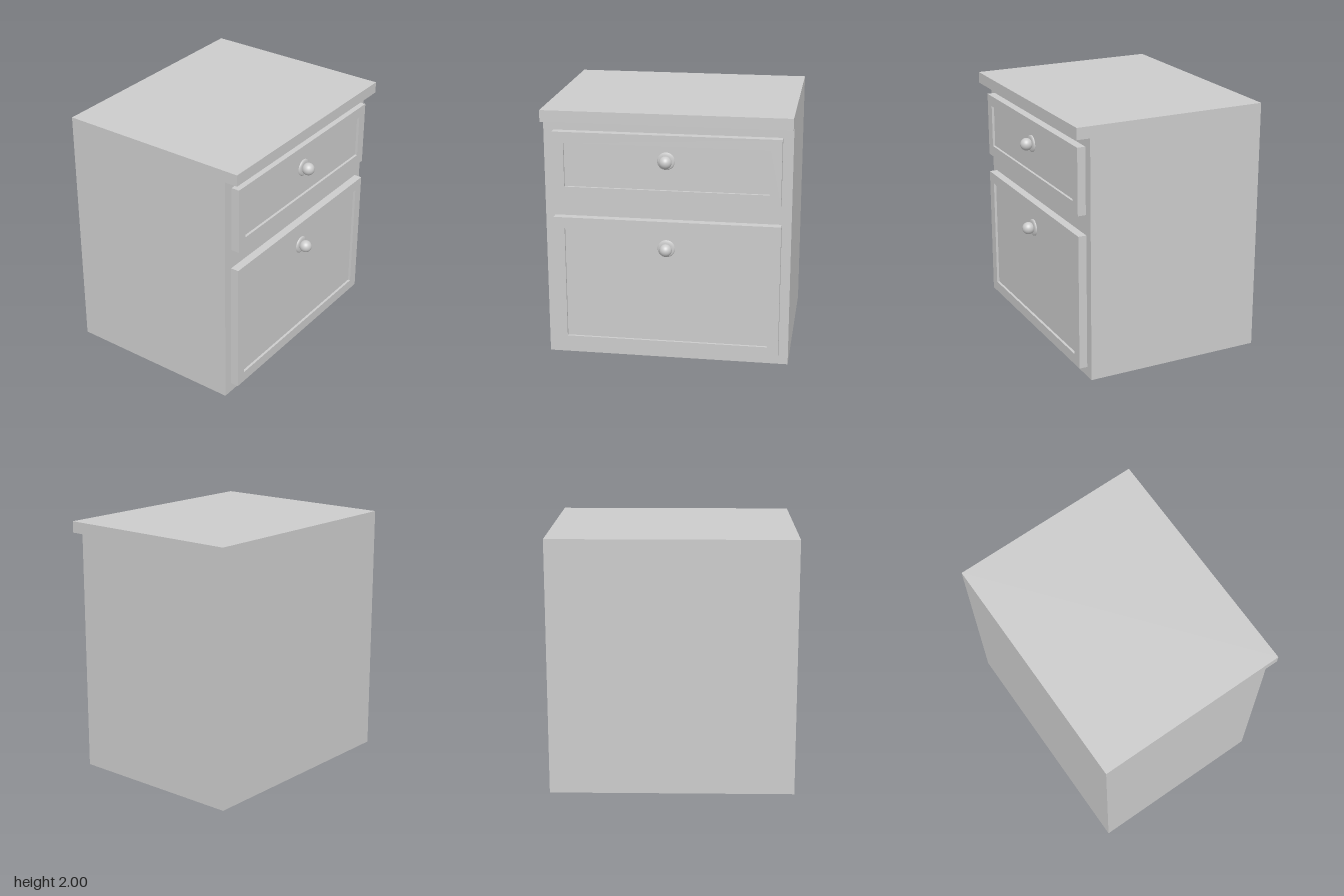
import * as THREE from 'three';

const material = new THREE.MeshStandardMaterial({ color: 0xcccccc });
const FACE_X = 0.645;   // cabinet face the drawers sit on
const FRONT_X = 0.71;   // front of the drawer frames
const PANEL_X = 0.69;   // recessed drawer panels

function addMesh(parent, name, geometry) {
  const mesh = new THREE.Mesh(geometry, material);
  mesh.name = name;
  parent.add(mesh);
  return mesh;
}

function rectangle(PathType, halfWidth, bottom, top) {
  return new PathType([
    [-halfWidth, bottom], [halfWidth, bottom], [halfWidth, top], [-halfWidth, top],
  ].map(([x, y]) => new THREE.Vector2(x, y)));
}

// Round plate, short neck and ball, turned about the x axis
function knobGeometry() {
  const points = [[0.068, 0], [0.068, 0.006], [0.058, 0.013], [0.032, 0.016]]
    .map(([r, h]) => new THREE.Vector2(r, h));
  const radius = 0.049, centre = 0.046;
  for (let i = 0; i <= 14; i++) {
    const a = THREE.MathUtils.lerp(-0.8, Math.PI / 2, i / 14);
    points.push(new THREE.Vector2(Math.max(0, radius * Math.cos(a)), centre + radius * Math.sin(a)));
  }
  return new THREE.LatheGeometry(points, 40).rotateZ(-Math.PI / 2);
}

function createDrawer({ name, outer, inner, knobY }) {
  const drawer = new THREE.Group();
  drawer.name = name;

  // Raised frame around a recessed panel
  const shape = rectangle(THREE.Shape, ...outer);
  shape.holes.push(rectangle(THREE.Path, ...inner));
  const frame = new THREE.ExtrudeGeometry(shape, { depth: FRONT_X - FACE_X, bevelEnabled: false });
  addMesh(drawer, 'drawerFrame', frame.rotateY(Math.PI / 2)).position.x = FACE_X;

  const [halfWidth, bottom, top] = inner;
  const panel = new THREE.BoxGeometry(PANEL_X - FACE_X, top - bottom, halfWidth * 2);
  addMesh(drawer, 'drawerPanel', panel)
    .position.set((PANEL_X + FACE_X) / 2, (top + bottom) / 2, 0);

  addMesh(drawer, 'knob', knobGeometry()).position.set(PANEL_X, knobY, 0);
  return drawer;
}

export function createModel() {
  const model = new THREE.Group();
  model.name = 'drawerCabinet';

  // Cabinet body with overhanging top, as one side profile
  const profile = new THREE.Shape([
    [-0.79, 0], [FACE_X, 0], [FACE_X, 1.91], [0.75, 1.91], [0.75, 2], [-0.79, 2],
  ].map(([x, y]) => new THREE.Vector2(x, y)));
  const body = new THREE.ExtrudeGeometry(profile, { depth: 1.904, bevelEnabled: false });
  addMesh(model, 'cabinetBody', body.translate(0, 0, -0.952));

  // Drawers: [half width, bottom, top] of the frame and its opening
  model.add(
    createDrawer({ name: 'upperDrawer', outer: [0.872, 1.307, 1.828], inner: [0.786, 1.398, 1.742], knobY: 1.626 }),
    createDrawer({ name: 'lowerDrawer', outer: [0.878, 0.078, 1.15], inner: [0.793, 0.163, 1.065], knobY: 0.93 }),
  );
  return model;
}
